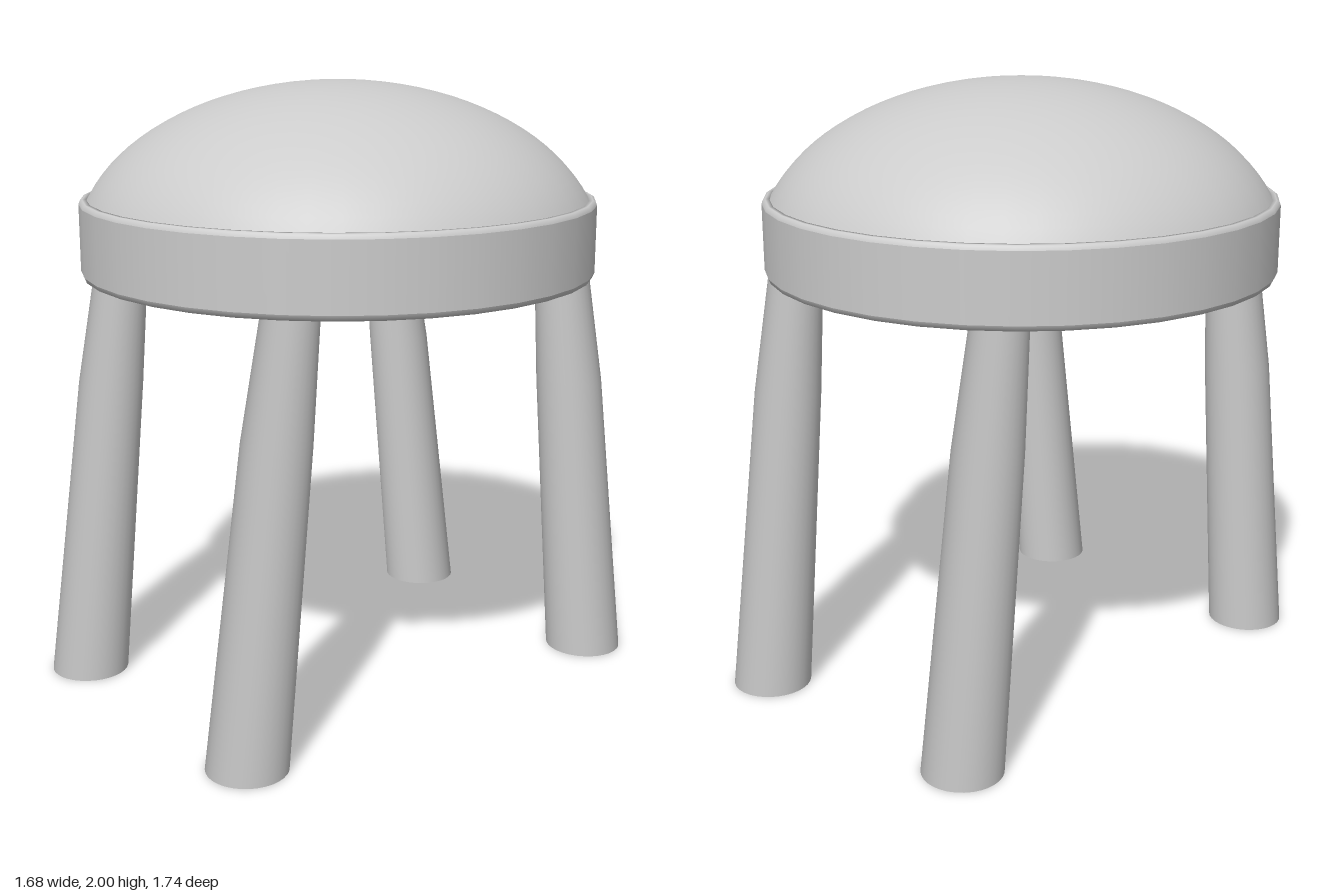
import * as THREE from 'three';

const material = new THREE.MeshStandardMaterial({ color: 0xcccccc });

// Lathe a list of separate profiles so the edges between them stay crisp
function lathe(group, name, profiles, sides) {
  const part = new THREE.Group();
  part.name = name;
  for (const profile of profiles) {
    const points = profile.map(([r, y]) => new THREE.Vector2(r, y));
    const mesh = new THREE.Mesh(new THREE.LatheGeometry(points, sides), material);
    mesh.name = name + 'Surface';
    part.add(mesh);
  }
  group.add(part);
}

// Round leg skinned over three cross-sections: foot, knee and top
function leg(name, x, sign) {
  const sections = [
    { y: 0, z: 0.74, rx: 0.13, rz: 0.128 },
    { y: 1.0, z: 0.617, rx: 0.113, rz: 0.105 },
    { y: 1.42, z: 0.557, rx: 0.088, rz: 0.085 },
  ];
  const geometry = new THREE.CylinderGeometry(1, 1, 2, 32, 2);
  const p = geometry.attributes.position;
  for (let i = 0; i < p.count; i++) {
    const s = sections[Math.round(p.getY(i)) + 1];
    p.setXYZ(i, x + p.getX(i) * s.rx, s.y, sign * s.z + p.getZ(i) * s.rz);
  }
  const mesh = new THREE.Mesh(geometry, material);
  mesh.name = name;
  return mesh;
}

export function createModel() {
  const model = new THREE.Group();
  model.name = 'stool';

  const seat = new THREE.Group();
  seat.name = 'seat';
  seat.position.z = 0.015;
  model.add(seat);

  // Seat band with softened edges and a flat underside
  lathe(seat, 'seatBand', [
    [[0, 1.38], [0.82, 1.38]],
    [[0.82, 1.38], [0.834, 1.385], [0.84, 1.4]],
    [[0.84, 1.4], [0.84, 1.615]],
    [[0.84, 1.615], [0.836, 1.626], [0.828, 1.63]],
    [[0.828, 1.63], [0.815, 1.63], [0.812, 1.6]],
  ], 36);

  // Domed cushion: upper part of an ellipsoid
  const dome = [];
  const start = Math.asin(0.15 / 0.55);
  for (let i = 0; i <= 20; i++) {
    const a = start + (Math.PI / 2 - start) * (i / 20);
    dome.push([i === 20 ? 0 : 0.86 * Math.cos(a), 1.45 + 0.55 * Math.sin(a)]);
  }
  lathe(seat, 'cushion', [dome], 48);

  // Four splayed legs; the back right one sits a little further in
  model.add(
    leg('frontLeftLeg', 0.465, 1),
    leg('frontRightLeg', -0.472, 1),
    leg('backLeftLeg', 0.465, -1),
    leg('backRightLeg', -0.42, -1),
  );
  return model;
}
